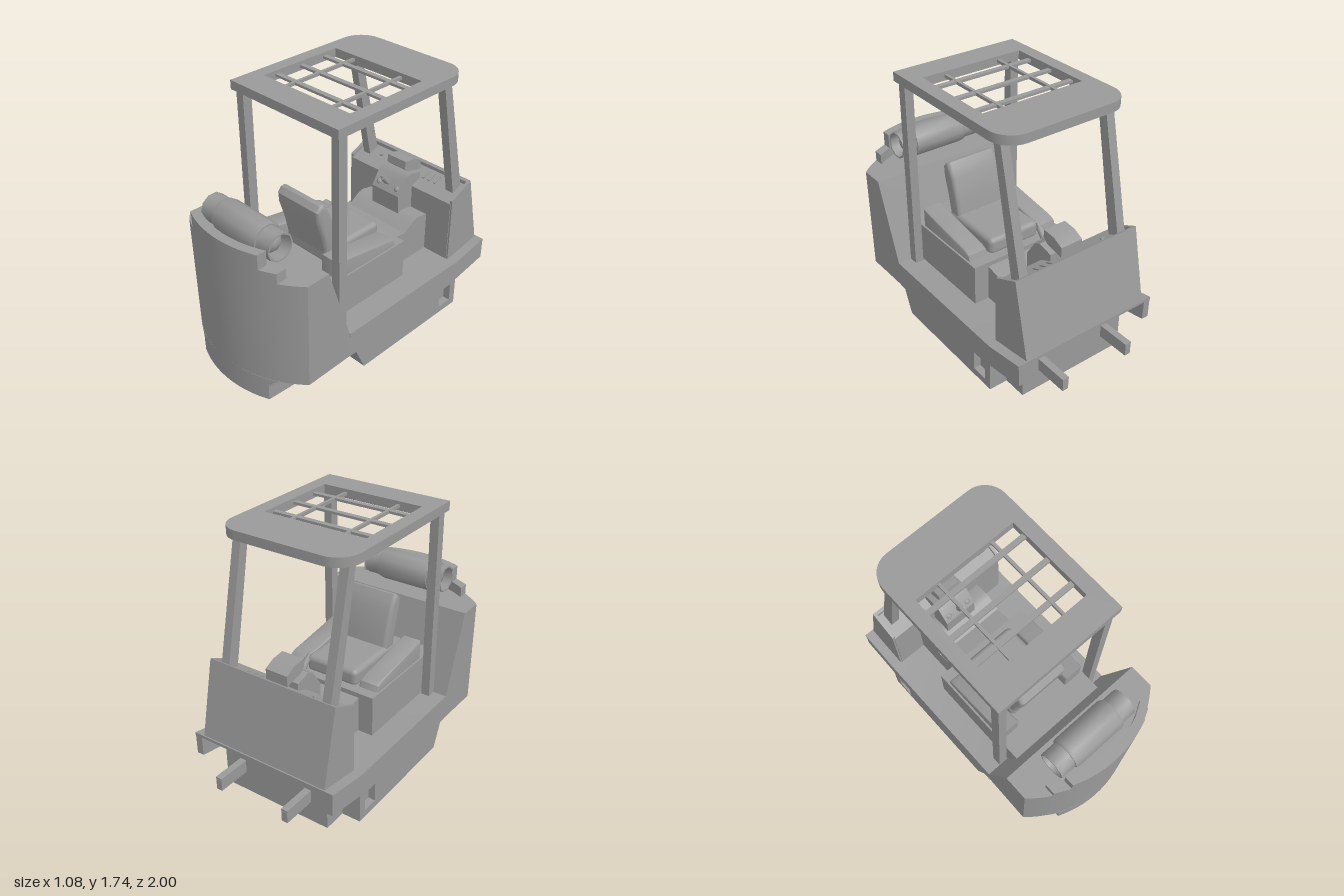
import * as THREE from 'three';
import { toCreasedNormals } from 'three/addons/utils/BufferGeometryUtils.js';
import { RoundedBoxGeometry } from 'three/addons/geometries/RoundedBoxGeometry.js';

const R = 0.8, CZ = 0.2; // radius and centre of the curved counterweight face
const arcZ = (x, r = R) => CZ + Math.sqrt(r * r - x * x);

export function createModel() {
  const model = new THREE.Group();
  const mat = new THREE.MeshStandardMaterial({ color: 0x999999 });
  const open = new THREE.MeshStandardMaterial({ color: 0x999999, side: THREE.DoubleSide });

  const add = (name, geo, material = mat) => {
    const mesh = new THREE.Mesh(geo, material);
    mesh.name = name;
    model.add(mesh);
    return mesh;
  };
  const box = (name, x, y, z, w, h, d) => {
    const m = add(name, new THREE.BoxGeometry(w, h, d));
    m.position.set(x, y, z);
    return m;
  };
  const vecs = pts => pts.map(p => new THREE.Vector2(...p));

  // Side profile of [z, y] points extruded from x0 to x1
  const side = (name, pts, x0, x1, { bevel = 0, hole } = {}) => {
    const shape = new THREE.Shape(vecs(pts));
    if (hole) shape.holes.push(new THREE.Path(vecs(hole)));
    const geo = new THREE.ExtrudeGeometry(shape, {
      depth: x1 - x0 - 2 * bevel, bevelEnabled: bevel > 0,
      bevelSize: bevel, bevelThickness: bevel, bevelOffset: -bevel, bevelSegments: 4,
    });
    geo.rotateY(-Math.PI / 2).translate(x1 - bevel, 0, 0);
    return add(name, toCreasedNormals(geo, 0.6));
  };

  // Plan outline of [x, z] points extruded from y0 to y1, with an optional vertex rule
  const plan = (name, pts, y0, y1, { hole, steps = 1, rule } = {}) => {
    const flip = list => vecs(list.map(([x, z]) => [x, -z]));
    const shape = new THREE.Shape(flip(pts));
    if (hole) shape.holes.push(new THREE.Path(flip(hole)));
    const geo = new THREE.ExtrudeGeometry(shape, { depth: y1 - y0, steps, bevelEnabled: false });
    geo.rotateX(-Math.PI / 2).translate(0, y0, 0);
    if (rule) {
      const p = geo.attributes.position, v = new THREE.Vector3();
      for (let i = 0; i < p.count; i++) {
        rule(v.fromBufferAttribute(p, i));
        p.setXYZ(i, v.x, v.y, v.z);
      }
    }
    return add(name, toCreasedNormals(geo, 0.5));
  };
  const arc = (w, r = R, n = 32) =>
    Array.from({ length: n + 1 }, (_, i) => {
      const x = w - (2 * w * i) / n;
      return [x, arcZ(x, r)];
    });

  // Counterweight: slightly tapered, sloped towards the seat at the top
  plan('counterweight', [[-0.535, 0.44], [0.535, 0.44], ...arc(0.54)], 0.17, 0.92, {
    steps: 1,
    rule: v => {
      if (v.z < 0.5 && v.y > 0.9) { v.z = 0.625; v.x = Math.sign(v.x) * 0.54; }
      else if (v.z < 0.5) v.z = 0.385;
      v.x *= 1 - (0.92 - v.y) * 0.02;
    },
  });
  // Core between the wheel arches, wider to the rear and flaring out at the top
  plan('counterweightCore', [[-0.32, 0.3], [0.32, 0.3], ...arc(0.32)], 0, 0.17, {
    steps: 10,
    rule: v => {
      const t = Math.max(0, (v.y - 0.1) / 0.07);
      const front = v.z > 0.5;
      v.x *= (front ? 1 : 1.13) + 0.22 * (1 - Math.sqrt(Math.max(0, 1 - t * t)));
      if (front) v.z = arcZ(v.x);
    },
  });
  // Stepped rim along the curved top edge
  for (const [w, y0, y1] of [[0.4, 0.92, 0.99], [0.3, 0.99, 1.09]])
    plan('counterweightRim', [...arc(w), ...arc(w, 0.74).reverse()], y0, y1);

  // Chassis with a shallow step pocket on each side
  const chassis = [[-0.61, 0], [0.31, 0], [0.385, 0.17], [0.44, 0.17], [0.44, 0.34], [-0.61, 0.34]];
  const pocket = [[-0.44, 0.05], [-0.555, 0.05], [-0.555, 0.185], [-0.44, 0.185]];
  side('chassis', chassis, -0.48, 0.48);
  side('chassisSide', chassis, 0.48, 0.53, { hole: pocket });
  side('chassisSide', chassis, -0.53, -0.48, { hole: pocket });
  side('floor', [[0.44, 0.338], [0.44, 0.355], [-0.61, 0.355], [-0.895, 0.405], [-0.895, 0.385], [-0.61, 0.338]], -0.533, 0.533);

  // Rear end: hollow overhang with side flanges around the axle housing
  for (const s of [-1, 1])
    side('rearFlange', [[-0.61, 0.2], [-0.61, 0.34], [-0.895, 0.39], [-0.895, 0.25]], s * 0.505 - 0.025, s * 0.505 + 0.025);
  side('axleHousing', [[-0.6, 0], [-0.6, 0.34], [-0.77, 0.37], [-0.77, 0]], -0.4, 0.4);
  for (const s of [-1, 1]) {
    box('bracket', s * 0.257, 0.183, -0.88, 0.043, 0.076, 0.24);
    box('bracketFlange', s * 0.257, 0.229, -0.88, 0.047, 0.012, 0.24);
  }

  // Dash cowl: sloped wall, side cheeks and a slightly sunken dash
  side('cowlWall', [[-0.75, 0.355], [-0.75, 0.9], [-0.77, 0.91], [-0.885, 0.4], [-0.86, 0.38]], -0.465, 0.465);
  side('dash', [[-0.58, 0.355], [-0.58, 0.8], [-0.76, 0.88], [-0.8, 0.36]], -0.455, 0.455);
  for (const s of [-1, 1])
    side('cowlCheek', [[-0.585, 0.355], [-0.585, 0.825], [-0.77, 0.91], [-0.885, 0.4]], s * 0.457 - 0.01, s * 0.457 + 0.01);
  for (const x of [0.145, 0.195, 0.245])
    box('dashSlot', x, 0.855, -0.695, 0.02, 0.012, 0.07).rotation.x = 0.42;
  const key = add('keySwitch', new THREE.CylinderGeometry(0.014, 0.014, 0.02, 12));
  key.position.set(-0.265, 0.855, -0.69);
  key.rotation.x = 0.42;

  // Tunnel, steering pod, display and steering handle
  side('tunnel', [[-0.22, 0.355], [-0.22, 0.605], [-0.36, 0.58], [-0.45, 0.64], [-0.49, 0.65], [-0.6, 0.63], [-0.6, 0.355]], -0.26, 0.26);
  side('steeringPod', [[-0.445, 0.62], [-0.44, 0.77], [-0.515, 0.885], [-0.56, 0.905], [-0.66, 0.88], [-0.66, 0.62]], -0.12, 0.12);
  side('display', [[-0.545, 0.93], [-0.55, 0.985], [-0.64, 0.975], [-0.71, 0.94], [-0.71, 0.87], [-0.58, 0.9]], -0.08, 0.08);
  const shaft = add('steeringShaft', new THREE.CylinderGeometry(0.011, 0.011, 0.15, 12));
  shaft.position.set(0, 0.86, -0.437);
  shaft.rotation.x = 0.7;
  const grip = add('steeringGrip', new THREE.CylinderGeometry(0.02, 0.02, 0.07, 12));
  grip.position.set(0, 0.868, -0.43);
  grip.rotation.x = 0.7;
  for (const x of [-0.08, 0.08])
    add('controlKnob', new THREE.SphereGeometry(0.024, 12, 8)).position.set(x, 0.8, -0.475);

  // Seat on its base, flanked by sloping covers
  box('seatBase', 0, 0.495, 0.15, 0.73, 0.28, 0.76);
  for (const s of [-1, 1])
    side('seatCover', [[0.375, 0.62], [0.375, 0.765], [0.2, 0.738], [-0.1, 0.695], [-0.145, 0.675], [-0.165, 0.62]],
      s * 0.282 - 0.07, s * 0.282 + 0.07, { bevel: 0.012 });
  const cushion = add('seatCushion', new RoundedBoxGeometry(0.39, 0.12, 0.47, 4, 0.035));
  cushion.position.set(0, 0.677, 0.065);
  const back = [[0.19, 0.7], [0.21, 0.82], [0.255, 0.98], [0.285, 1.04], [0.315, 1.08], [0.345, 1.075], [0.375, 1.04],
    [0.37, 0.97], [0.33, 0.84], [0.3, 0.7]];
  side('seatBack', back, -0.188, 0.188, { bevel: 0.028 });

  // Overhead guard: pillars, roof frame with rounded corners, and grille bars
  for (const s of [-1, 1]) {
    box('rearPillar', s * 0.405, 1.015, 0.408, 0.06, 1.35, 0.065);
    side('frontPillar', [[-0.667, 0.8], [-0.485, 1.69], [-0.548, 1.69], [-0.745, 0.83]], s * 0.38 - 0.03, s * 0.38 + 0.03);
  }
  const corner = (s, n = 8) => Array.from({ length: n + 1 }, (_, i) => {
    const a = (i / n) * Math.PI / 2;
    return [s * (0.305 + 0.15 * Math.cos(a)), -0.5 - 0.155 * Math.sin(a)];
  });
  plan('roof', [[-0.455, 0.465], [0.455, 0.465], ...corner(1), ...corner(-1).reverse()], 1.68, 1.74, {
    hole: [[-0.365, -0.325], [0.36, -0.325], [0.36, 0.28], [-0.365, 0.28]],
  });
  for (const z of [-0.23, -0.03, 0.17]) box('roofCrossBar', 0, 1.71, z, 0.74, 0.016, 0.035);
  for (const x of [-0.2, 0.195]) box('roofLongBar', x, 1.71, -0.02, 0.02, 0.02, 0.62);

  // Gas tank: ten-sided, with open collars around domed ends
  const half = [[0, 0.27], [0.045, 0.258], [0.082, 0.215], [0.084, 0.305], [0.094, 0.305], [0.094, 0.195], [0.104, 0.195], [0.11, 0.175]];
  const profile = [...half.map(([r, h]) => [r, -h]), ...half.slice().reverse()];
  const tank = new THREE.LatheGeometry(vecs(profile), 10);
  tank.rotateZ(Math.PI / 2);
  add('gasTank', toCreasedNormals(tank, 0.7), open).position.set(-0.005, 1.055, 0.77);

  return model;
}
